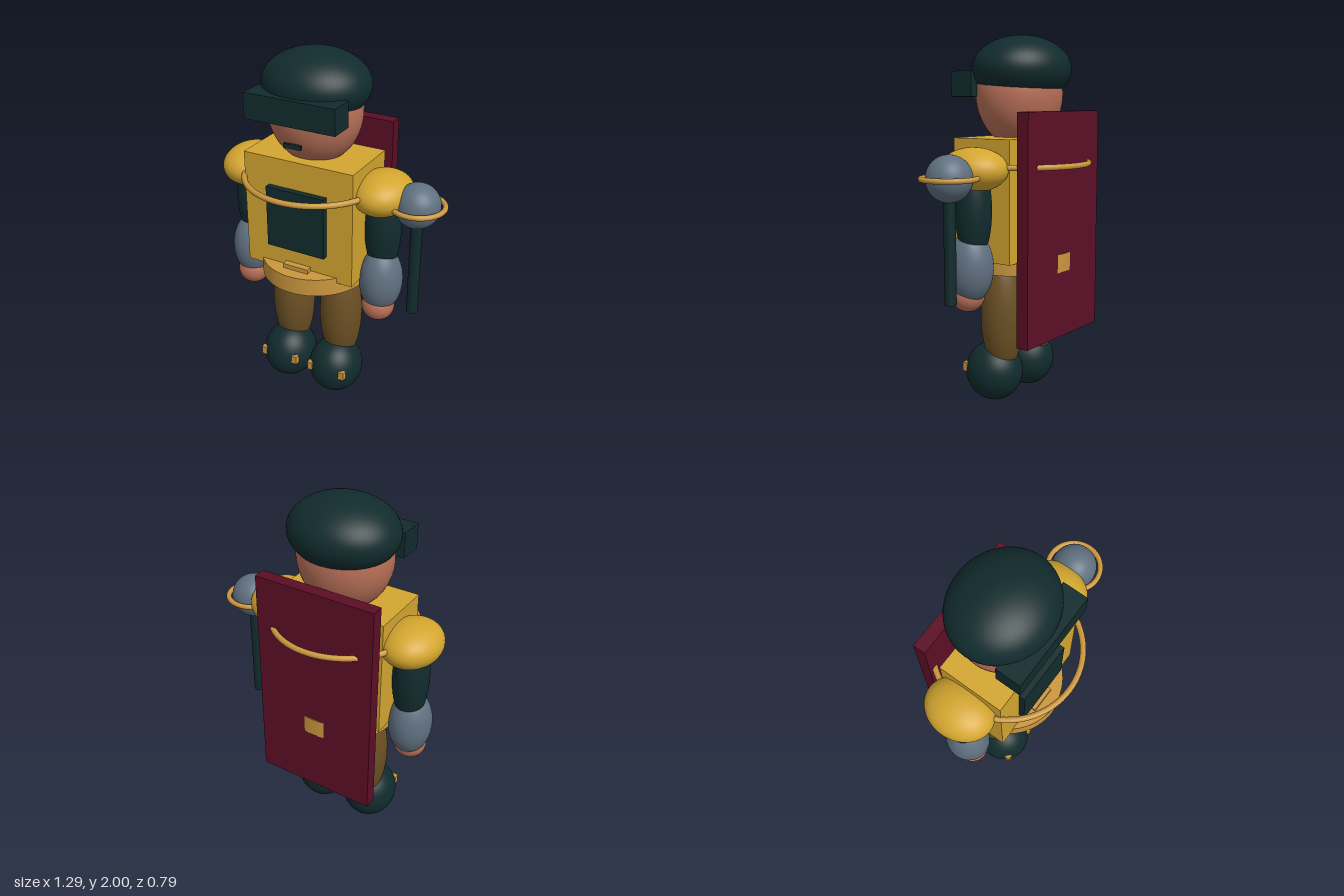
import * as THREE from 'three';

export function createModel() {
  const model = new THREE.Group();
  model.name = 'guardFigure';

  const mat = (name, color) => {
    const m = new THREE.MeshStandardMaterial({ color });
    m.name = name;
    return m;
  };
  const dark = mat('dark teal', 0x112b2d);
  const gold = mat('gold', 0xd4a630);
  const brass = mat('brass', 0xcb973e);
  const skin = mat('skin', 0xb87058);
  const brown = mat('brown', 0x6b5024);
  const steel = mat('steel', 0x607080);
  const maroon = mat('maroon', 0x5c0e26);

  // The figure is offset so that the lantern staff balances it
  const body = new THREE.Group();
  body.name = 'body';
  body.position.x = -0.096;
  model.add(body);

  const add = (parent, name, geometry, material, x, y, z) => {
    const mesh = new THREE.Mesh(geometry, material);
    mesh.name = name;
    mesh.position.set(x, y, z);
    parent.add(mesh);
    return mesh;
  };
  const ball = (name, material, [x, y, z], [rx, ry, rz], parent = body) =>
    add(parent, name, new THREE.SphereGeometry(1, 48, 32).scale(rx, ry, rz), material, x, y, z);
  const box = (name, material, [x, y, z], [w, h, d], parent = body) =>
    add(parent, name, new THREE.BoxGeometry(w, h, d), material, x, y, z);
  const ring = (name, material, [x, y, z], radius, tube, parent = body) =>
    add(parent, name, new THREE.TorusGeometry(radius, tube, 16, 72).rotateX(Math.PI / 2), material, x, y, z);

  // Head, cap and visor
  ball('head', skin, [0, 1.69, 0], [0.255, 0.285, 0.226]);
  ball('cap', dark, [0, 1.82, -0.016], [0.29, 0.18, 0.257]);
  box('visor', dark, [0, 1.742, 0.197], [0.514, 0.136, 0.136]);
  box('mouth', dark, [0, 1.563, 0.231], [0.1, 0.024, 0.016]);

  // Torso with armour, belt and chest ring
  ball('innerTorso', dark, [0, 1.06, 0], [0.32, 0.45, 0.202]);
  box('breastplate', gold, [0, 1.138, 0.013], [0.64, 0.645, 0.364]);
  box('chestPanel', dark, [0, 1.133, 0.212], [0.342, 0.345, 0.034]);
  add(body, 'belt', new THREE.CylinderGeometry(0.302, 0.302, 0.1, 64), brass, 0, 0.795, 0);
  box('beltBuckle', brass, [0, 0.795, 0.217], [0.15, 0.15, 0.036]);
  ring('chestRing', brass, [0, 1.32, 0], 0.379, 0.0155);
  box('capePanel', maroon, [0, 0.995, -0.262], [0.674, 1.21, 0.068]);

  // Paired parts
  for (const [side, s] of [['left', 1], ['right', -1]]) {
    ball(side + 'Eye', steel, [s * 0.087, 1.685, 0.207], [0.031, 0.031, 0.031]);
    ball(side + 'Shoulder', gold, [s * 0.396, 1.307, 0], [0.156, 0.114, 0.188]);
    ball(side + 'UpperArm', dark, [s * 0.402, 1.1, 0], [0.097, 0.28, 0.095]);
    ball(side + 'Forearm', steel, [s * 0.407, 0.8, 0.018], [0.117, 0.19, 0.124]);
    ball(side + 'Hand', skin, [s * 0.404, 0.648, 0.038], [0.09, 0.088, 0.088]);
    ball(side + 'Leg', brown, [s * 0.155, 0.5, 0], [0.12, 0.33, 0.12]);
    ball(side + 'Boot', dark, [s * 0.155, 0.165, 0.057], [0.153, 0.165, 0.161]);
    for (const t of [-1, 1]) {
      box(side + 'BootClasp', brass, [s * 0.155 + t * 0.101, 0.19, 0.175], [0.032, 0.05, 0.03]);
    }
  }

  // Lantern staff on the left side
  const staff = new THREE.Group();
  staff.name = 'lanternStaff';
  staff.position.x = 0.492;
  model.add(staff);
  add(staff, 'staffPole', new THREE.CylinderGeometry(0.031, 0.031, 0.62, 32), dark, 0, 0.95, 0);
  ball('staffOrb', steel, [0, 1.276, 0], [0.119, 0.119, 0.119], staff);
  ring('staffRing', brass, [0, 1.276, 0], 0.139, 0.014, staff);

  return model;
}
